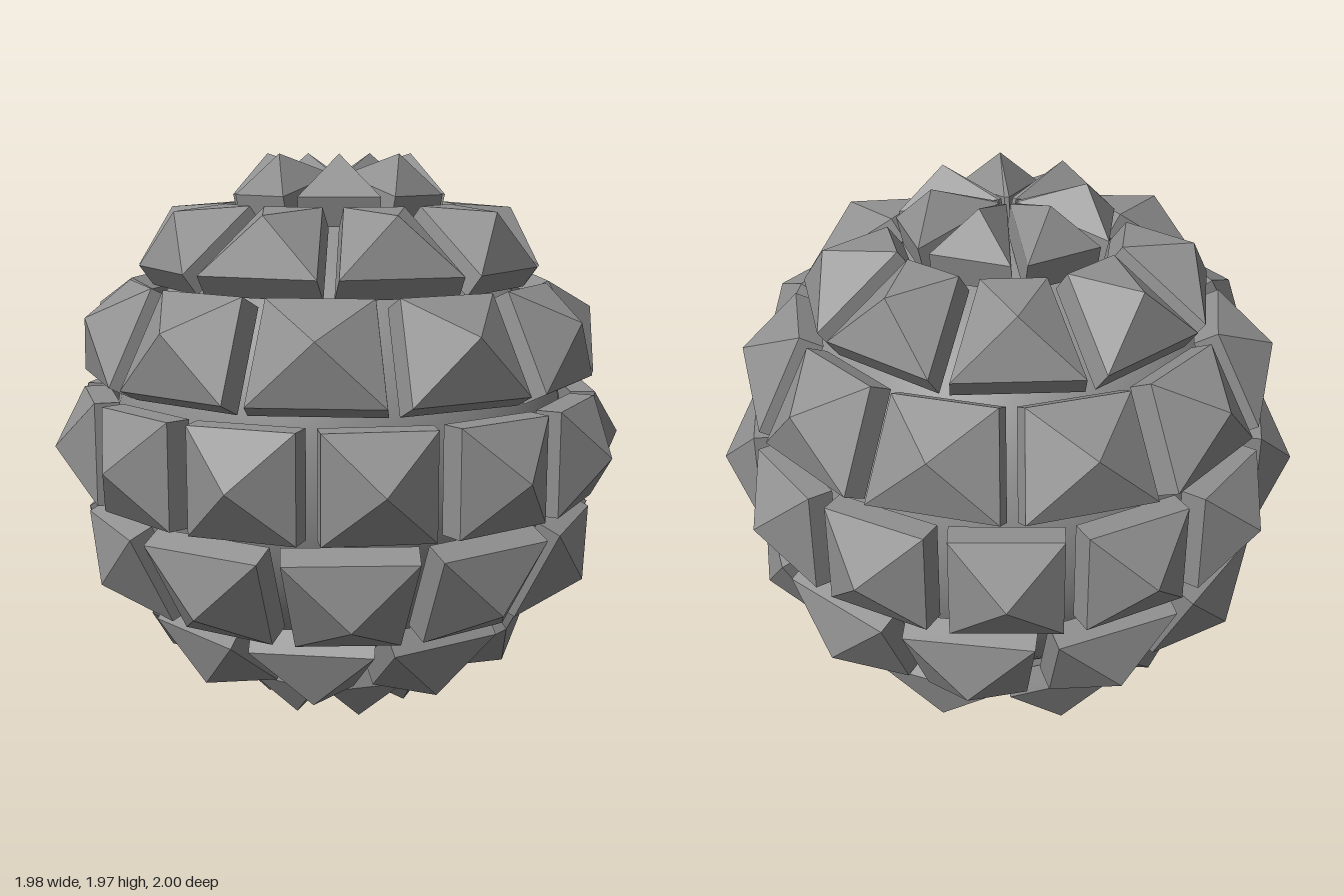
import * as THREE from 'three';

const CORE = 0.795; // core sphere radius
const GAP = 0.04; // gap between neighbouring studs
const FOOT = 0.8; // distance of the stud foot from the centre
const deg = THREE.MathUtils.degToRad;

// Rows from top to bottom: latitude, stud count, angle of the first seam
const cap = { count: 7, half: 0.16, base: 0.9, tip: 1.017 };
const rows = [
  { name: 'topCap', lat: 78, seam: 0, ...cap },
  { name: 'upper', lat: 53.5, count: 9, seam: 0 },
  { name: 'upperMiddle', lat: 26.8, count: 11, seam: 0 },
  { name: 'equator', lat: 0, count: 13, seam: 0 },
  { name: 'lowerMiddle', lat: -26.8, count: 11, seam: -7 },
  { name: 'lower', lat: -53.5, count: 9, seam: -15 },
  { name: 'bottomCap', lat: -78, seam: -16, ...cap },
];

// Trapezoid block with a pyramid on top; local z points away from the core
function studGeometry(lat, count, half, base, tip) {
  const halfWidth = (y) => {
    const ringRadius = 0.81 * Math.cos(lat) - y * Math.sin(lat);
    return Math.max(0.008, ringRadius * Math.tan(Math.PI / count) - GAP / 2);
  };
  const low = halfWidth(-half);
  const high = halfWidth(half);
  const outline = [[-low, -half], [low, -half], [high, half], [-high, half]];
  // The tip stands over the centroid of the trapezoid
  const tipY = (half * (high - low)) / (3 * (high + low));
  const points = [
    ...outline.flatMap(([x, y]) => [x, y, FOOT]),
    ...outline.flatMap(([x, y]) => [x, y, base]),
    0, tipY, tip,
  ];
  const index = [0, 2, 1, 0, 3, 2];
  for (let i = 0; i < 4; i++) {
    const j = (i + 1) % 4;
    index.push(i, j, j + 4, i, j + 4, i + 4); // wall
    index.push(i + 4, j + 4, 8); // pyramid facet
  }
  const indexed = new THREE.BufferGeometry();
  indexed.setAttribute('position', new THREE.Float32BufferAttribute(points, 3));
  indexed.setIndex(index);
  const geometry = indexed.toNonIndexed();
  geometry.computeVertexNormals();
  return geometry;
}

export function createModel() {
  const model = new THREE.Group();
  model.name = 'studdedBall';

  // Ball centre, set so that the outermost tips are centred
  const ball = new THREE.Group();
  ball.name = 'ball';
  ball.position.set(0.012, 0.995, 0);
  model.add(ball);

  // Smooth core
  const core = new THREE.Mesh(
    new THREE.SphereGeometry(CORE, 64, 40),
    new THREE.MeshStandardMaterial({ color: 0x909090 })
  );
  core.name = 'core';
  ball.add(core);

  // Rings of pyramid studs
  const studMaterial = new THREE.MeshStandardMaterial({ color: 0x909090, flatShading: true });
  for (const { name, lat, count, seam, half = 0.175, base = 0.885, tip = 1.007 } of rows) {
    const ring = new THREE.Group();
    ring.name = name + 'Studs';
    const geometry = studGeometry(deg(lat), count, half, base, tip);
    for (let i = 0; i < count; i++) {
      const stud = new THREE.Mesh(geometry, studMaterial);
      stud.name = 'stud';
      const angle = deg(seam) + ((i + 0.5) * 2 * Math.PI) / count;
      stud.rotation.set(-deg(lat), Math.PI / 2 - angle, 0, 'YXZ');
      ring.add(stud);
    }
    ball.add(ring);
  }
  return model;
}
